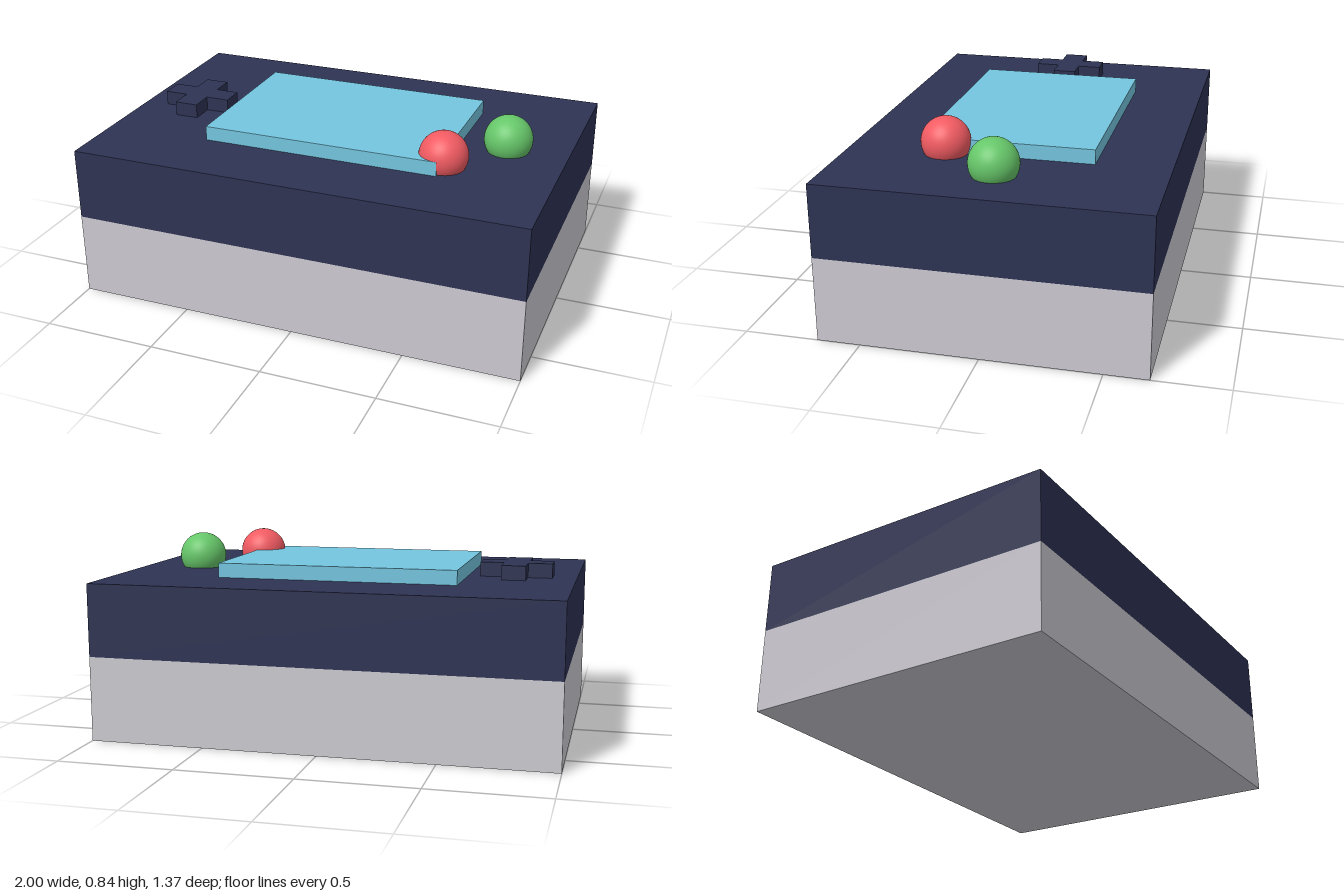
import * as THREE from 'three';

const U = 2 / 19; // design unit: the case is 19 units wide

export function createModel() {
  const model = new THREE.Group();
  model.name = 'handheldConsole';

  const paint = (color) => new THREE.MeshStandardMaterial({ color });
  const navy = paint(0x2e3353);

  const add = (name, geometry, material, x, y, z) => {
    const mesh = new THREE.Mesh(geometry, material);
    mesh.name = name;
    mesh.position.set(x * U, y * U, z * U);
    model.add(mesh);
  };
  const box = (w, h, d) => new THREE.BoxGeometry(w * U, h * U, d * U);

  // Case: pale lower half, navy upper half
  add('lowerCase', box(19, 3.5, 13), paint(0xcccad1), 0, 1.75, 0);
  add('upperCase', box(19, 3, 13), navy, 0, 5, 0);

  // Raised screen
  add('screen', box(10, 0.6, 7), paint(0x74c5df), 0, 6.8, 0);

  // Direction pad: a plus outline, extruded upwards
  const a = 0.5 * U, b = 1.5 * U;
  const plus = new THREE.Shape([
    [-a, -b], [a, -b], [a, -a], [b, -a], [b, a], [a, a],
    [a, b], [-a, b], [-a, a], [-b, a], [-b, -a], [-a, -a],
  ].map(([x, y]) => new THREE.Vector2(x, y)));
  const pad = new THREE.ExtrudeGeometry(plus, { depth: 0.6 * U, bevelEnabled: false });
  pad.rotateX(-Math.PI / 2);
  add('directionPad', pad, navy, -7, 6.5, 0);

  // Ball buttons, sunk into the case
  const ball = new THREE.SphereGeometry(U, 48, 32);
  add('redButton', ball, paint(0xf15b62), 5, 7, 2.5);
  add('greenButton', ball, paint(0x66c669), 7, 7, 0);

  return model;
}
